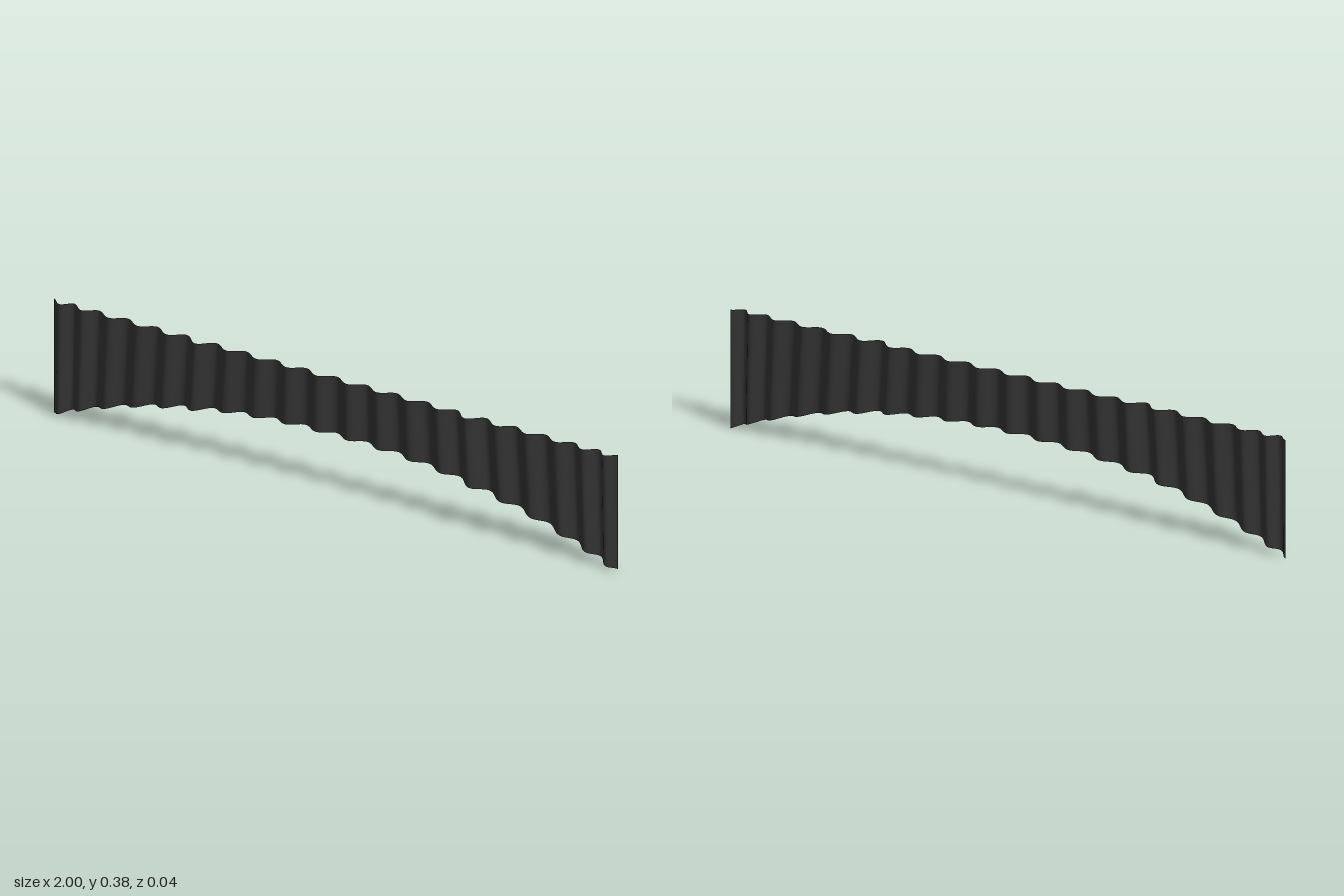
import * as THREE from 'three';

const TOP = 0.375, RISE = 0.19;

// crests and troughs of the folds as [x, z], from the middle to one end
const folds = [[0, -0.017]];
const crests = [0, 0.107, 0.213, 0.32, 0.425, 0.53, 0.635, 0.74, 0.842, 0.93, 1];
for (let i = 1; i < crests.length; i++) {
  const trough = i === 5 ? 0.019 : i === 6 ? 0.013 : 0.01;
  folds.push([(crests[i - 1] + crests[i]) / 2, trough]);
  folds.push([crests[i], i === 10 ? -0.014 : -0.017]);
}

// smooth wave through the fold points, mirrored about the middle
function foldDepth(x) {
  const a = Math.min(Math.abs(x), 1);
  let i = 0;
  while (i < folds.length - 2 && a > folds[i + 1][0]) i++;
  const [x0, z0] = folds[i], [x1, z1] = folds[i + 1];
  const t = (1 - Math.cos(Math.PI * (a - x0) / (x1 - x0))) / 2;
  return z0 + (z1 - z0) * t;
}

// arched lower hem
const hem = (x) => RISE * (1 - Math.pow(Math.abs(x), 2.2));

export function createModel() {
  const group = new THREE.Group();
  group.name = 'valance';

  // pleated cloth sheet: straight top, arched hem, folds fanning out slightly
  const geometry = new THREE.PlaneGeometry(2, 1, 400, 10);
  const p = geometry.attributes.position;
  for (let i = 0; i < p.count; i++) {
    const u = p.getX(i), v = p.getY(i) + 0.5;
    const drop = (1 - v) * (TOP - hem(u)) / TOP;
    const x = u + 0.06 * drop * u * (1 - u * u);
    const low = hem(x);
    p.setXYZ(i, x, low + (TOP - low) * v, foldDepth(u));
  }
  geometry.computeVertexNormals();

  const cloth = new THREE.Mesh(geometry, new THREE.MeshStandardMaterial({
    color: 0x333333, side: THREE.DoubleSide,
  }));
  cloth.name = 'pleatedCloth';
  group.add(cloth);
  return group;
}
